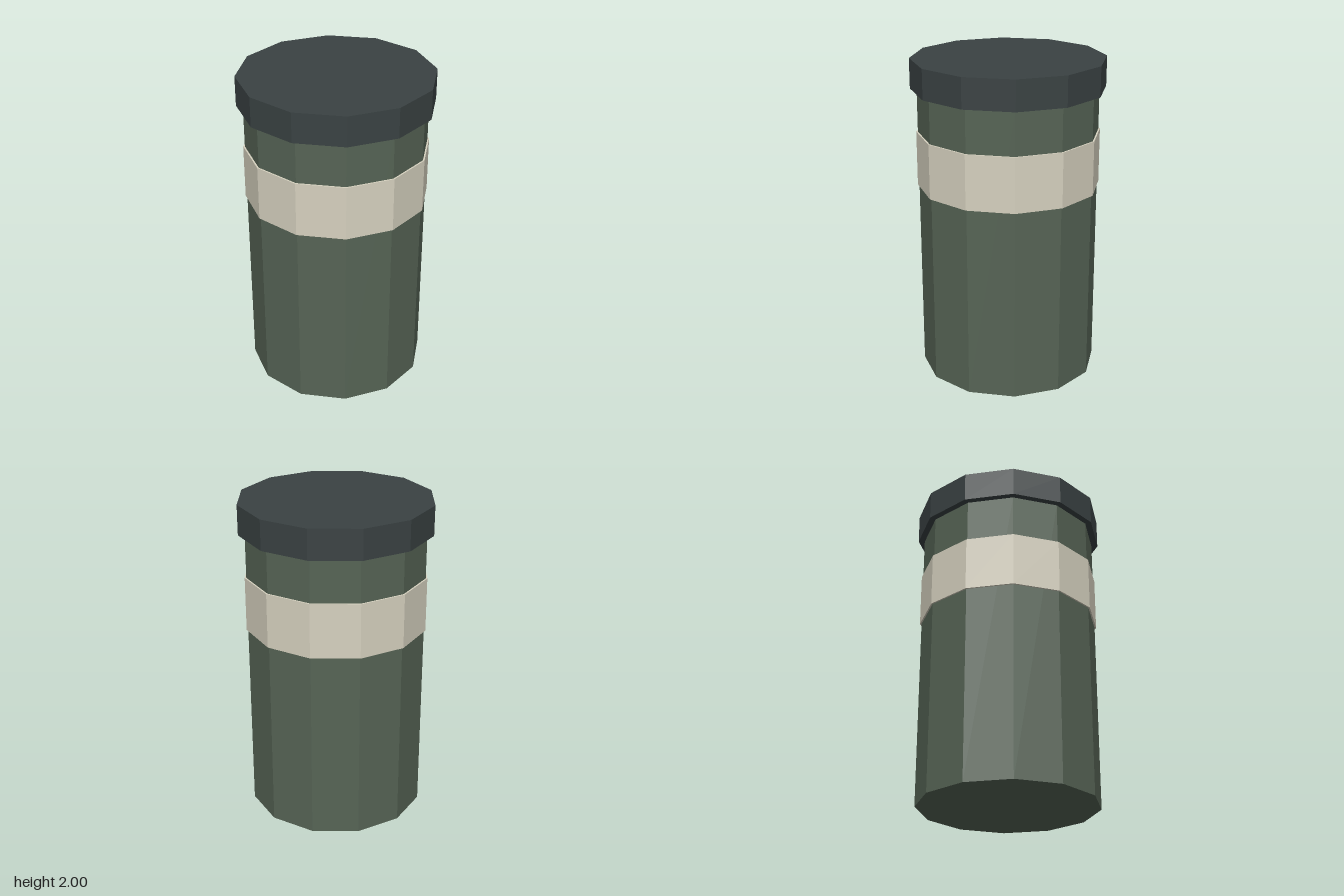
import * as THREE from 'three';

const SIDES = 12;

function material(name, color) {
  const m = new THREE.MeshStandardMaterial({ color, flatShading: true });
  m.name = name;
  return m;
}

// Twelve-sided drum spanning y0..y1, with a corner facing the front
function drum(name, radius, y0, y1, mat) {
  const mesh = new THREE.Mesh(new THREE.CylinderGeometry(radius, radius, y1 - y0, SIDES), mat);
  mesh.name = name;
  mesh.position.y = (y0 + y1) / 2;
  return mesh;
}

export function createModel() {
  const group = new THREE.Group();
  group.name = 'canister';

  group.add(
    drum('body', 0.555, 0, 1.815, material('dull green', 0x566455)),
    drum('labelBand', 0.565, 1.205, 1.545, material('warm cream', 0xd6d1bf)),
    drum('lid', 0.595, 1.815, 2, material('dark slate', 0x3a4243)),
  );
  return group;
}
